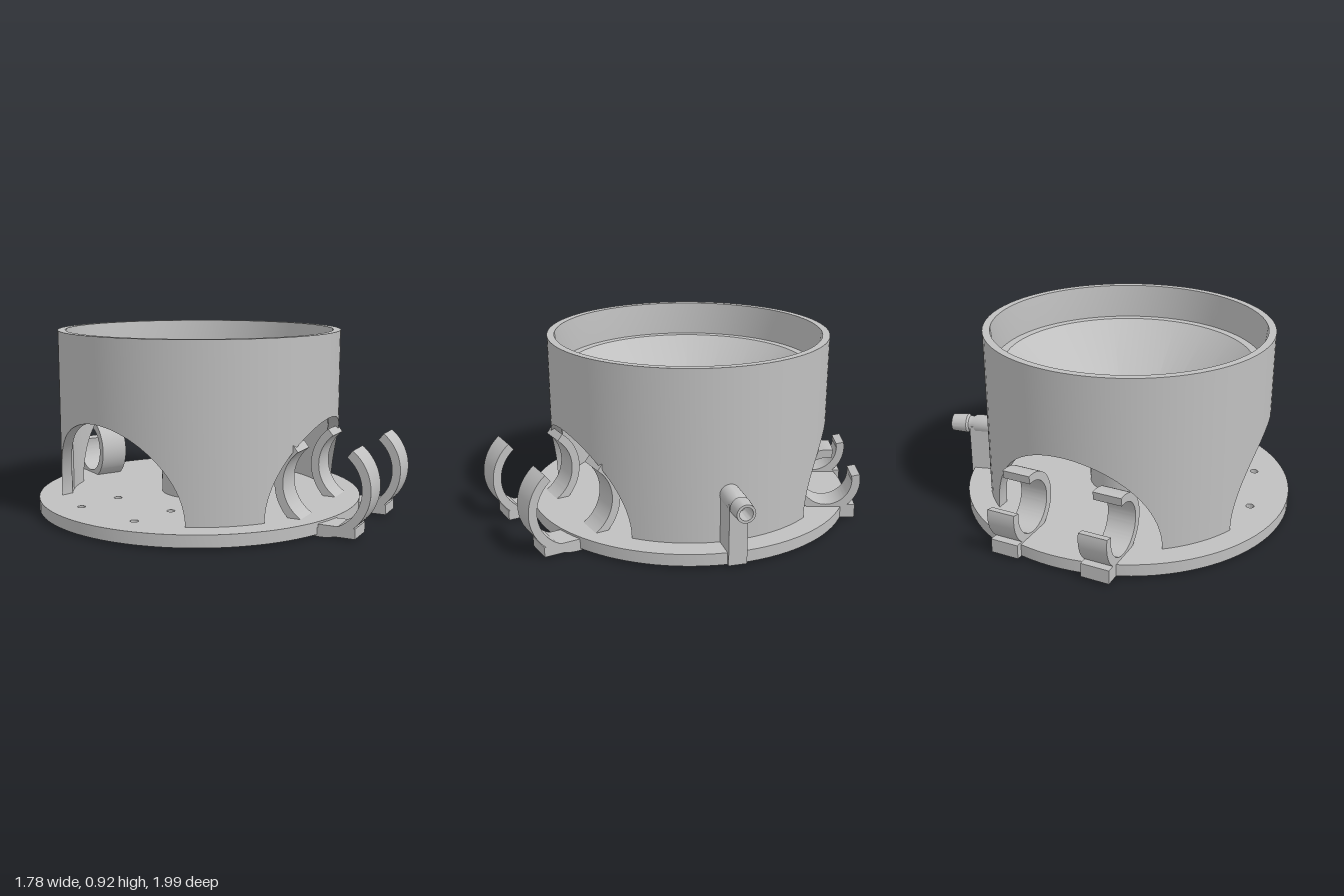
import * as THREE from 'three';
import { toCreasedNormals } from 'three/addons/utils/BufferGeometryUtils.js';

const CX = -0.06, CZ = -0.085;            // axis of the round body
const R = 0.72, RI = 0.667;               // housing wall radii
const FLOOR = 0.07, TOP = 0.92, LEDGE = 0.745;
const ARCH = 0.44;                        // radius of the side openings
const rad = THREE.MathUtils.degToRad;
const ARCH_DIRS = [75, 180, 285].map(rad);

export function createModel() {
  const model = new THREE.Group();
  model.name = 'funnelStand';
  const body = new THREE.Group();
  body.name = 'body';
  body.position.set(CX, 0, CZ);
  model.add(body);

  const grey = new THREE.MeshStandardMaterial({ color: 0xc0c0c0 });
  grey.name = 'plastic grey';

  const add = (parent, name, geometry, crease = 0.5) => {
    const mesh = new THREE.Mesh(toCreasedNormals(geometry, crease), grey);
    mesh.name = name;
    parent.add(mesh);
    return mesh;
  };
  const lathe = (points, segments) =>
    new THREE.LatheGeometry(points.map(([x, y]) => new THREE.Vector2(x, y)), segments);

  // Base disc with screw holes
  const disc = new THREE.Shape().absarc(0, 0, 0.835, 0, Math.PI * 2);
  for (const [dir, reach] of [[75, 0.41], [180, 0.41], [180, 0.65]]) {
    for (const side of [-0.19, 0.19]) {
      const c = Math.cos(rad(dir)), s = Math.sin(rad(dir));
      const x = reach * c - side * s, z = reach * s + side * c;
      disc.holes.push(new THREE.Path().absarc(x, -z, 0.02, 0, Math.PI * 2, true));
    }
  }
  const discGeo = new THREE.ExtrudeGeometry(disc, { depth: 0.06, bevelEnabled: false, curveSegments: 48 });
  discGeo.rotateX(-Math.PI / 2).translate(0, 0.01, 0);
  add(body, 'baseDisc', discGeo);

  add(body, 'housing', housingGeometry());

  // Funnel with its drain column
  add(body, 'funnel', lathe([
    [0.2, FLOOR], [0.2, 0.215], [0.672, 0.687], [0.672, LEDGE], [0.624, LEDGE],
    [0.033, 0.154], [0.033, 0.08], [0, 0.08],
  ], 96));

  // Hose nozzle and its upright support
  const nozzle = lathe([
    [0.05, 0.7], [0.05, 0.82], [0.04, 0.84], [0.04, 0.86], [0.05, 0.87],
    [0.045, 0.95], [0.032, 0.95], [0.032, 0.75], [0, 0.75],
  ], 32);
  nozzle.rotateZ(-Math.PI / 2).translate(0, 0.31, 0);
  add(body, 'hoseNozzle', nozzle);
  const support = new THREE.BoxGeometry(0.15, 0.3, 0.09);
  support.translate(0.775, 0.16, 0);
  add(body, 'nozzleSupport', support);

  // Pairs of spring clips: a tall pair in front, a smaller tilted pair behind
  const clips = [
    { name: 'frontClip', dir: 75, reach: 0.795, y: 0.235, r: 0.235, gap: [52, 128], foot: [0.78, 0.96, 0.01, 0.06] },
    { name: 'backClip', dir: 285, reach: 0.7, y: 0.21, r: 0.17, gap: [12, 82], foot: [0.62, 0.85, 0.01, 0.08] },
  ];
  for (const c of clips) {
    for (const side of [-1, 1]) {
      const clip = new THREE.Group();
      clip.name = c.name;
      clip.rotation.y = -rad(c.dir);
      body.add(clip);

      const [a0, a1] = [rad(c.gap[1]), rad(c.gap[0] + 360)];
      const ring = new THREE.Shape();
      ring.absarc(c.reach, c.y, c.r, a0, a1, false);
      ring.absarc(c.reach, c.y, c.r - 0.042, a1, a0, true);
      const ringGeo = new THREE.ExtrudeGeometry(ring, { depth: 0.142, bevelEnabled: false, curveSegments: 40 });
      ringGeo.translate(0, 0, side * 0.235 - 0.071);
      add(clip, c.name + 'Ring', ringGeo);

      const [x0, x1, y0, y1] = c.foot;
      const foot = new THREE.BoxGeometry(x1 - x0, y1 - y0, 0.142);
      foot.translate((x0 + x1) / 2, (y0 + y1) / 2, side * 0.235);
      add(clip, c.name + 'Foot', foot);
    }
  }
  return model;
}

// Round wall with three arched openings, swept as a closed section around the axis
function housingGeometry() {
  const columns = [];
  const half = [Math.asin(ARCH / R), Math.asin(ARCH / RI)];
  ARCH_DIRS.forEach((dir, k) => {
    for (let i = 0; i <= 40; i++) {       // across an opening
      const phi = Math.PI * (1 - i / 40);
      const w = ARCH * Math.cos(phi);
      columns.push([dir + Math.asin(w / R), dir + Math.asin(w / RI), FLOOR + ARCH * Math.sin(phi)]);
    }
    const next = k < 2 ? ARCH_DIRS[k + 1] : ARCH_DIRS[0] + Math.PI * 2;
    for (let i = 1; i < 16; i++) {        // across the pillar after it
      const at = h => THREE.MathUtils.lerp(dir + h, next - h, i / 16);
      columns.push([at(half[0]), at(half[1]), FLOOR]);
    }
  });

  const point = (r, t, y) => [r * Math.cos(t), y, r * Math.sin(t)];
  const sections = columns.map(([to, ti, y]) => [
    point(R, to, y), point(R, to, TOP), point(0.683, to, TOP),
    point(RI, ti, LEDGE), point(RI, ti, y),
  ]);
  const positions = [];
  sections.forEach((s, i) => {
    const n = sections[(i + 1) % sections.length];
    for (let j = 0; j < 5; j++) {
      const k = (j + 1) % 5;
      positions.push(...s[j], ...s[k], ...n[k], ...s[j], ...n[k], ...n[j]);
    }
  });
  const geo = new THREE.BufferGeometry();
  geo.setAttribute('position', new THREE.Float32BufferAttribute(positions, 3));
  return geo;
}
